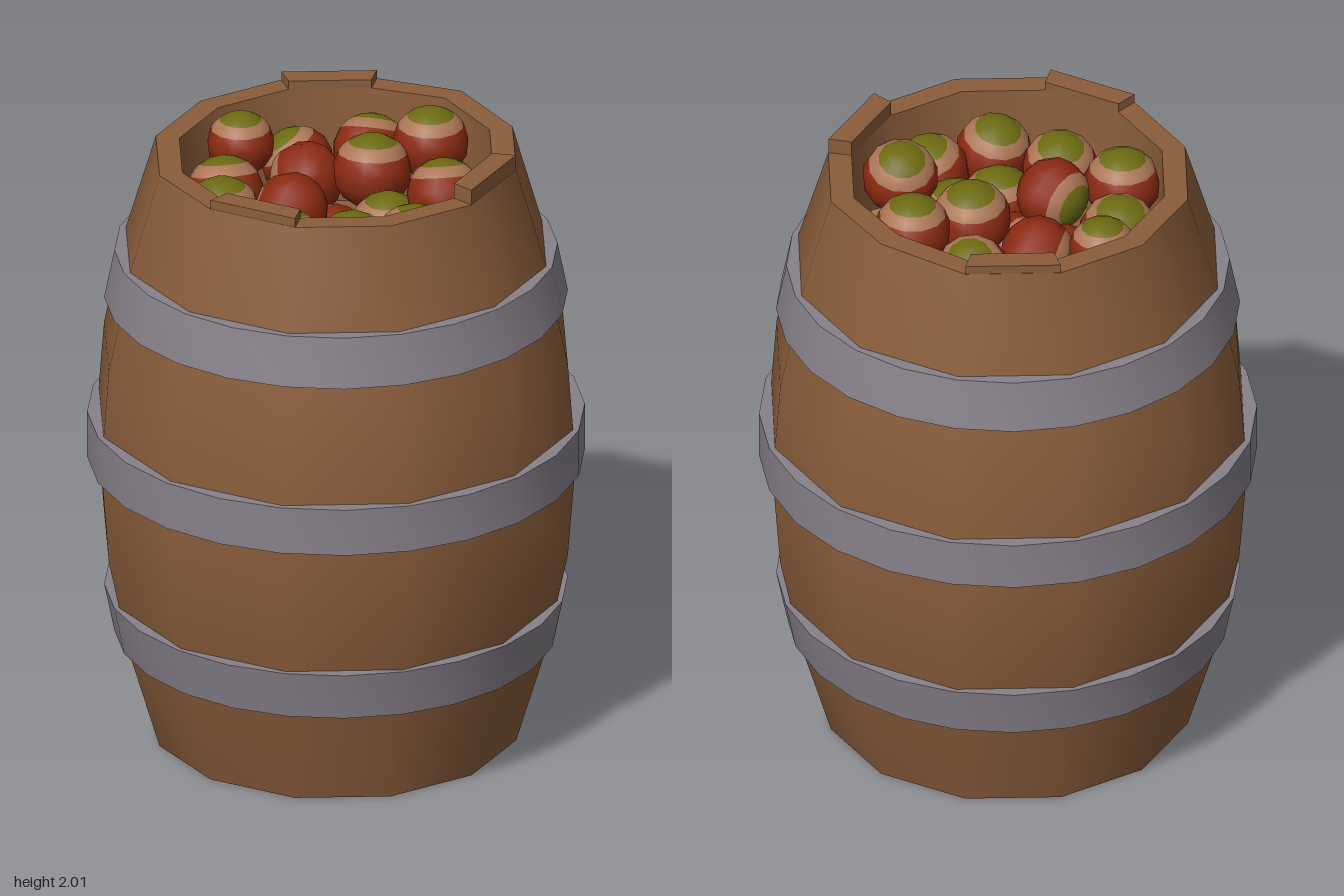
import * as THREE from 'three';
import { toCreasedNormals } from 'three/addons/utils/BufferGeometryUtils.js';

const mat = (name, color) => new THREE.MeshStandardMaterial({ name, color });

export function createModel() {
  const wood = mat('wood', 0x8a5d3b);
  const iron = mat('iron', 0x87818a);
  const red = mat('apple red', 0x8c2a12);
  const tan = mat('apple tan', 0xac7656);
  const green = mat('apple green', 0x6c6a10);

  const group = new THREE.Group();
  group.name = 'appleBarrel';

  const add = (parent, name, geometry, material) => {
    const mesh = new THREE.Mesh(geometry, material);
    mesh.name = name;
    parent.add(mesh);
    return mesh;
  };
  const lathe = (profile, sides) =>
    new THREE.LatheGeometry(profile.map(([r, y]) => new THREE.Vector2(r, y)), sides);

  // Barrel body: recessed base, bulging wall, rim, inner wall and the floor under the apples
  const TOP = 1.95;
  const body = lathe([
    [0, 0.03], [0.5, 0.03], [0.5, 0], [0.575, 0], [0.672, 0.325], [0.74, 0.65], [0.765, 0.975],
    [0.74, 1.3], [0.672, 1.625], [0.575, TOP], [0.5, TOP], [0.47, 1.58], [0, 1.58],
  ], 12);

  // The rim rises slightly at two corners at the back
  const pos = body.attributes.position;
  for (let i = 0; i < pos.count; i++) {
    if (Math.abs(pos.getY(i) - TOP) > 1e-4) continue;
    const corner = Math.round(Math.atan2(pos.getX(i), pos.getZ(i)) / (Math.PI / 6));
    if (corner === 5) pos.setY(i, TOP + 0.02);
    if (corner === 4) pos.setY(i, TOP + 0.012);
  }
  add(group, 'barrelBody', toCreasedNormals(body, 0.7), wood);

  // Taller stave ends on the rim: [first corner of twelve, counted from the front towards +x, height]
  for (const [corner, height] of [[2, 0.05], [11, 0.03], [6, 0.028]]) {
    const at = (r, k) => {
      const a = (k * Math.PI) / 6;
      return new THREE.Vector2(r * Math.sin(a), -r * Math.cos(a));
    };
    const shape = new THREE.Shape([
      at(0.5, corner), at(0.574, corner), at(0.574, corner + 1), at(0.5, corner + 1),
    ]);
    const geometry = new THREE.ExtrudeGeometry(shape, { depth: height, bevelEnabled: false });
    geometry.rotateX(-Math.PI / 2);
    add(group, 'raisedStave', geometry, wood).position.y = TOP;
  }

  // Iron hoops: [name, bottom y, bottom radius, top y, top radius]
  for (const [name, y0, r0, y1, r1] of [
    ['lowerHoop', 0.33, 0.69, 0.49, 0.722],
    ['middleHoop', 0.925, 0.775, 1.08, 0.775],
    ['upperHoop', 1.47, 0.722, 1.63, 0.69],
  ]) {
    const hoop = lathe([[r0 - 0.08, y0], [r0, y0], [r1, y1], [r1 - 0.08, y1]], 24);
    add(group, name, toCreasedNormals(hoop, 0.6), iron);
  }

  // Apples: a green crown, a tan ring and a red underside, each a slice of the same sphere
  const slice = (from, to, rows) =>
    new THREE.SphereGeometry(1, 12, rows, 0, Math.PI * 2, from, to - from);
  const crown = slice(0, 0.67, 2);
  const ring = slice(0.67, 1.05, 1);
  const underside = slice(1.05, Math.PI, 5);
  const up = new THREE.Vector3(0, 1, 0);

  // [x, y, z, radius, direction of the crown]
  const apples = [
    [-0.20, 1.75, -0.34, 0.115, -0.7, 1, 0.05],
    [0.03, 1.81, -0.35, 0.12, 0, 1, -0.6],
    [0.24, 1.89, -0.275, 0.12, 0, 1, 0],
    [0.34, 1.75, -0.15, 0.115, -0.3, 1, -0.2],
    [-0.35, 1.86, -0.20, 0.107, 0, 1, 0],
    [-0.13, 1.78, -0.155, 0.12, -1, -0.3, 0],
    [0.09, 1.85, -0.11, 0.125, 0, 1, -0.1],
    [0.355, 1.865, 0.045, 0.12, -0.15, 1, -0.35],
    [-0.35, 1.785, 0.015, 0.125, -0.15, 1, -0.3],
    [0.18, 1.74, 0.06, 0.12, 0, 1, 0],
    [-0.11, 1.81, 0.14, 0.117, -1, -0.1, -0.5],
    [-0.31, 1.82, 0.235, 0.12, 0, 1, 0],
    [0.08, 1.71, 0.21, 0.12, 0, 1, 0],
    [0.30, 1.78, 0.225, 0.122, 0.2, 1, -0.2],
    [-0.085, 1.78, 0.34, 0.12, -0.1, 1, -0.25],
    [0.13, 1.80, 0.355, 0.12, -0.2, 1, -0.15],
    [-0.17, 1.66, 0, 0.12, 0, -1, 0.2],
    [0, 1.66, 0.03, 0.12, -1, 0.4, -0.5],
  ];
  for (const [x, y, z, r, dx, dy, dz] of apples) {
    const apple = new THREE.Group();
    apple.name = 'apple';
    apple.position.set(x, y, z);
    apple.scale.set(r, r * 0.96, r);
    apple.quaternion.setFromUnitVectors(up, new THREE.Vector3(dx, dy, dz).normalize());
    add(apple, 'appleCrown', crown, green);
    add(apple, 'appleRing', ring, tan);
    add(apple, 'appleUnderside', underside, red);
    group.add(apple);
  }

  return group;
}
